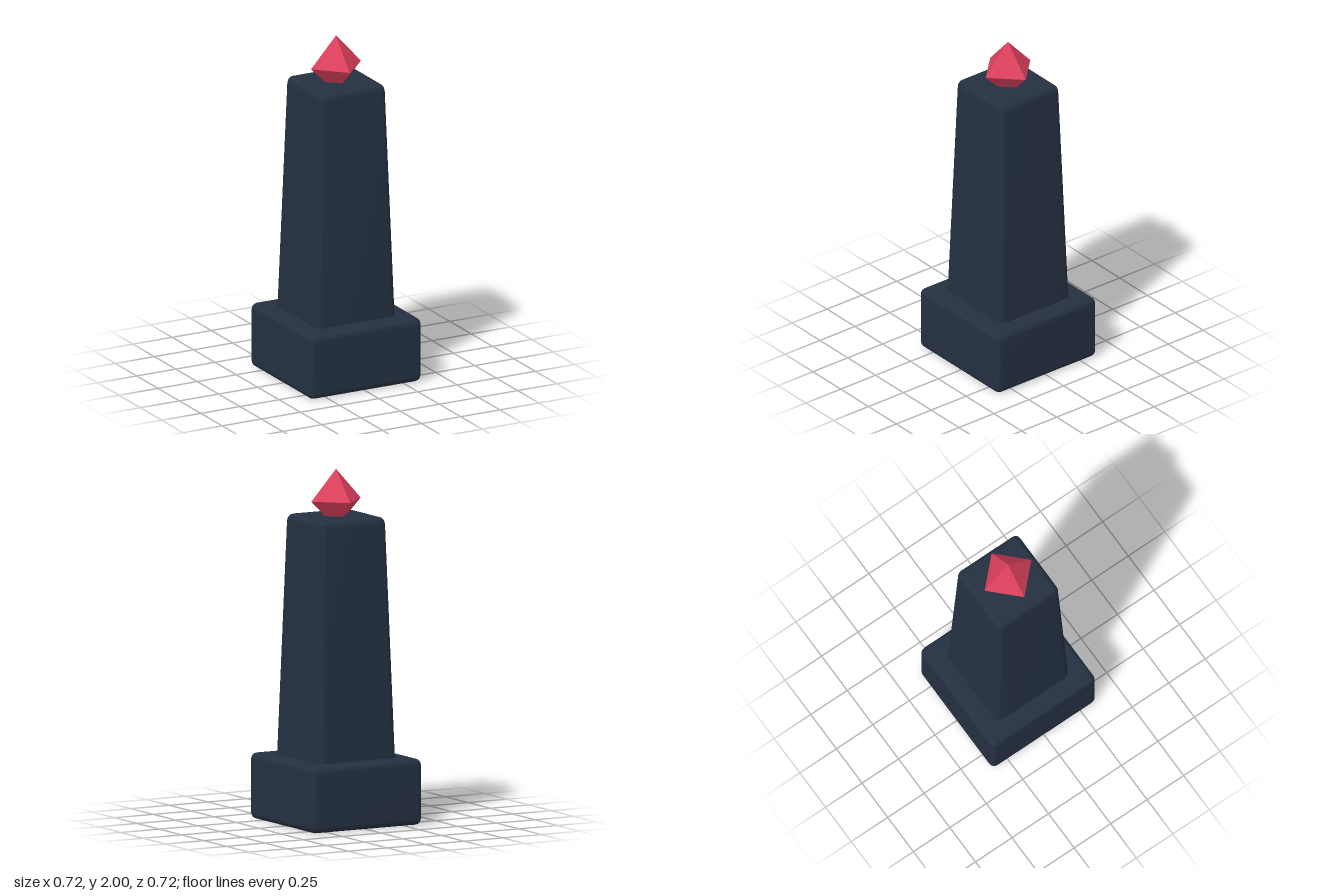
import * as THREE from 'three';
import { mergeVertices } from 'three/addons/utils/BufferGeometryUtils.js';
import { RoundedBoxGeometry } from 'three/addons/geometries/RoundedBoxGeometry.js';

// Softly shaded block with rounded edges, tapering from bottom to top half width
function taperedBlock(y0, y1, bottomHalf, topHalf, radius) {
  const height = y1 - y0;
  let geometry = new RoundedBoxGeometry(bottomHalf * 2, height, bottomHalf * 2, 2, radius);
  geometry.translate(0, (y0 + y1) / 2, 0);
  const p = geometry.attributes.position;
  for (let i = 0; i < p.count; i++) {
    const t = (p.getY(i) - y0) / height;
    const s = 1 + t * (topHalf / bottomHalf - 1);
    p.setX(i, p.getX(i) * s);
    p.setZ(i, p.getZ(i) * s);
  }
  geometry.deleteAttribute('normal');
  geometry.deleteAttribute('uv');
  geometry = mergeVertices(geometry, 1e-4);
  geometry.computeVertexNormals();
  return geometry;
}

export function createModel() {
  const group = new THREE.Group();
  group.name = 'obelisk';
  const stone = new THREE.MeshStandardMaterial({ color: 0x243041 });
  stone.name = 'dark slate';
  const crystal = new THREE.MeshStandardMaterial({ color: 0xdc405c });
  crystal.name = 'crimson';

  const add = (name, geometry, material) => {
    const mesh = new THREE.Mesh(geometry, material);
    mesh.name = name;
    group.add(mesh);
  };

  // Plinth and shaft
  add('base', taperedBlock(0, 0.375, 0.358, 0.358, 0.036), stone);
  add('shaft', taperedBlock(0.31, 1.737, 0.2545, 0.209, 0.042), stone);

  // Faceted gem, its lower tip sunk into the shaft
  const gem = new THREE.OctahedronGeometry(0.16);
  const p = gem.attributes.position;
  for (let i = 0; i < p.count; i++) {
    const y = p.getY(i);
    p.setY(i, 1.825 + y * (y > 0 ? 0.175 : 0.16) / 0.16);
  }
  gem.computeVertexNormals();
  add('gem', gem, crystal);

  return group;
}
